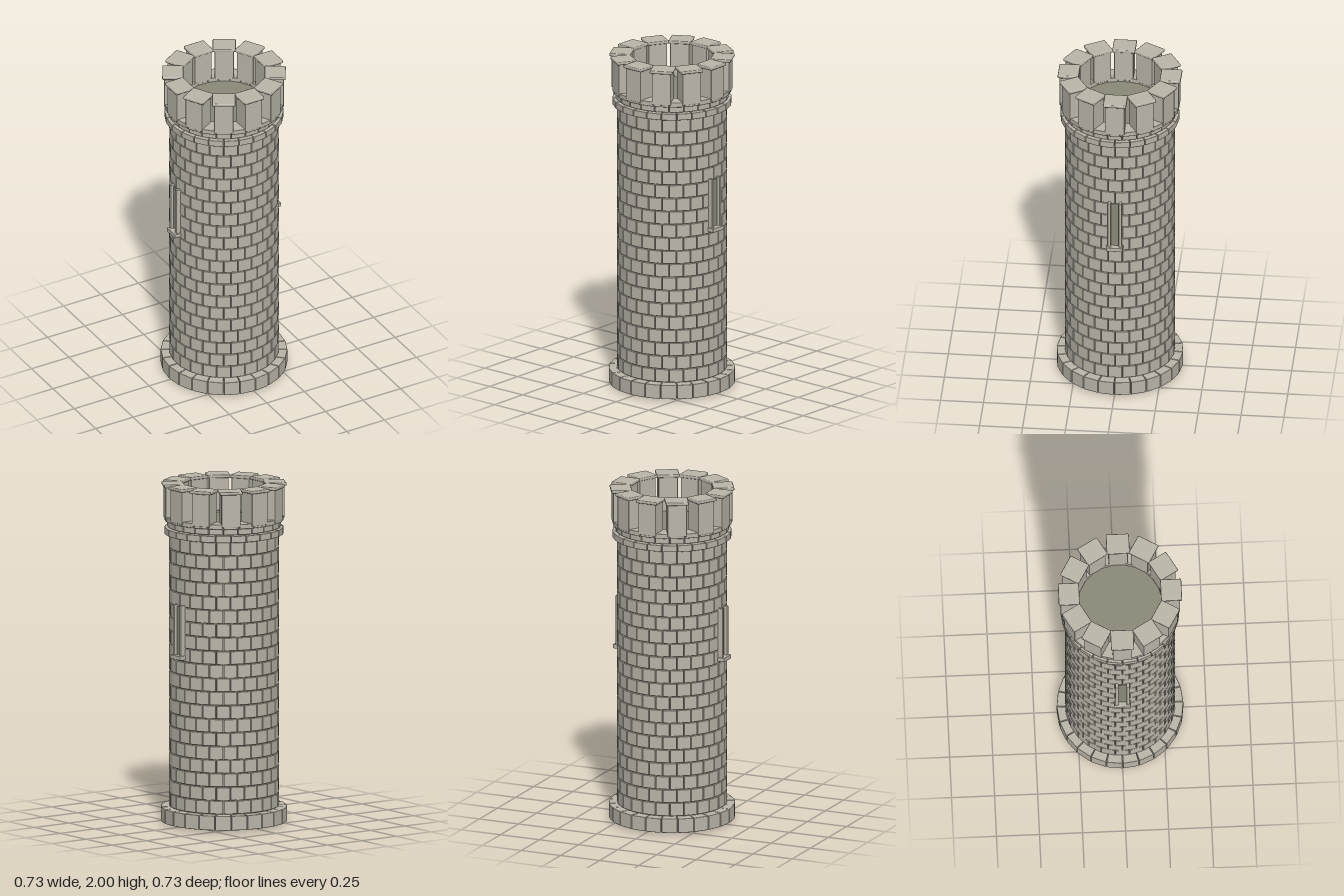
import * as THREE from 'three';
import { mergeGeometries } from 'three/addons/utils/BufferGeometryUtils.js';
import { RoundedBoxGeometry } from 'three/addons/geometries/RoundedBoxGeometry.js';

const SIDES = 24;
const STEP = (Math.PI * 2) / SIDES;

// One bevelled stone, narrowed towards the tower axis; its outer corners lie on radius r.
function stone(r, depth, y0, y1, angle) {
  const width = 2 * r * Math.sin(STEP / 2) - 0.004;
  const apothem = r * Math.cos(STEP / 2);
  const g = new RoundedBoxGeometry(width, y1 - y0, depth, 1, 0.003);
  g.translate(0, (y0 + y1) / 2, apothem - depth / 2);
  const p = g.attributes.position;
  for (let i = 0; i < p.count; i++) p.setX(i, (p.getX(i) * p.getZ(i)) / apothem);
  return g.rotateY(angle);
}

// A full ring of stones; shift is in stone widths, drop lowers every other top.
function stoneRing(r, depth, y0, y1, shift, drop = 0) {
  const parts = [];
  for (let i = 0; i < SIDES; i++) {
    parts.push(stone(r, depth, y0, y1 - (i % 2) * drop, (i + shift) * STEP));
  }
  return mergeGeometries(parts);
}

// A box spanning the given x, y and z limits.
function span(x0, x1, y0, y1, z0, z1, bevel = 0.003) {
  return new RoundedBoxGeometry(x1 - x0, y1 - y0, z1 - z0, 1, bevel)
    .translate((x0 + x1) / 2, (y0 + y1) / 2, (z0 + z1) / 2);
}

export function createModel() {
  const tower = new THREE.Group();
  tower.name = 'tower';
  const stoneMat = new THREE.MeshStandardMaterial({ color: 0xbab5a8 });
  stoneMat.name = 'pale stone';
  const mortarMat = new THREE.MeshStandardMaterial({ color: 0x8a8878 });
  mortarMat.name = 'mortar';

  const add = (name, geometry, material = stoneMat, parent = tower) => {
    const mesh = new THREE.Mesh(geometry, material);
    mesh.name = name;
    parent.add(mesh);
    return mesh;
  };

  // Solid core: shows in the joints, as the roof floor and underneath
  add('core', new THREE.CylinderGeometry(0.308, 0.308, 1.78, 64).translate(0, 0.89, 0), mortarMat);

  // Wide footing
  add('footing', stoneRing(0.368, 0.08, 0.01, 0.095, 0.5));

  // Wall courses with staggered joints
  const wall = new THREE.Group();
  wall.name = 'wall';
  tower.add(wall);
  const COURSES = 20, FIRST = 0.097, PITCH = 0.08;
  for (let i = 0; i < COURSES; i++) {
    const y = FIRST + i * PITCH;
    add('course' + (i + 1), stoneRing(0.32, 0.04, y + 0.002, y + PITCH - 0.002, i % 2 ? 0.5 : 0), stoneMat, wall);
  }

  // Stepped crown below the battlements
  add('lowerCrown', stoneRing(0.347, 0.08, 1.699, 1.738, 0.5));
  add('middleCrown', stoneRing(0.33, 0.08, 1.742, 1.776, 0));
  add('upperCrown', stoneRing(0.347, 0.1, 1.778, 1.82, 0, 0.014));

  // Twelve merlons with overhanging caps
  const battlements = new THREE.Group();
  battlements.name = 'battlements';
  tower.add(battlements);
  const bodyGeo = span(-0.056, 0.056, 1.79, 1.985, 0.242, 0.347);
  const capGeo = span(-0.067, 0.067, 1.981, 2.0, 0.236, 0.358, 0.006);
  for (let i = 0; i < 12; i++) {
    const merlon = new THREE.Group();
    merlon.name = 'merlon';
    merlon.rotation.y = (i * Math.PI) / 6;
    add('merlonBody', bodyGeo, stoneMat, merlon);
    add('merlonCap', capGeo, stoneMat, merlon);
    battlements.add(merlon);
  }

  // Narrow windows on the left and right
  for (const turn of [0, Math.PI]) {
    const win = new THREE.Group();
    win.name = turn ? 'rightWindow' : 'leftWindow';
    win.rotation.y = turn;
    add('windowPanel', span(0.316, 0.323, 1.01, 1.3, -0.027, 0.027, 0.001), mortarMat, win);
    for (const s of [-1, 1]) {
      add('windowJamb', span(0.3, 0.342, 1.005, 1.31, s * 0.032 - 0.009, s * 0.032 + 0.009), stoneMat, win);
    }
    add('windowSill', span(0.3, 0.356, 0.99, 1.015, -0.048, 0.048), stoneMat, win);
    tower.add(win);
  }

  return tower;
}
